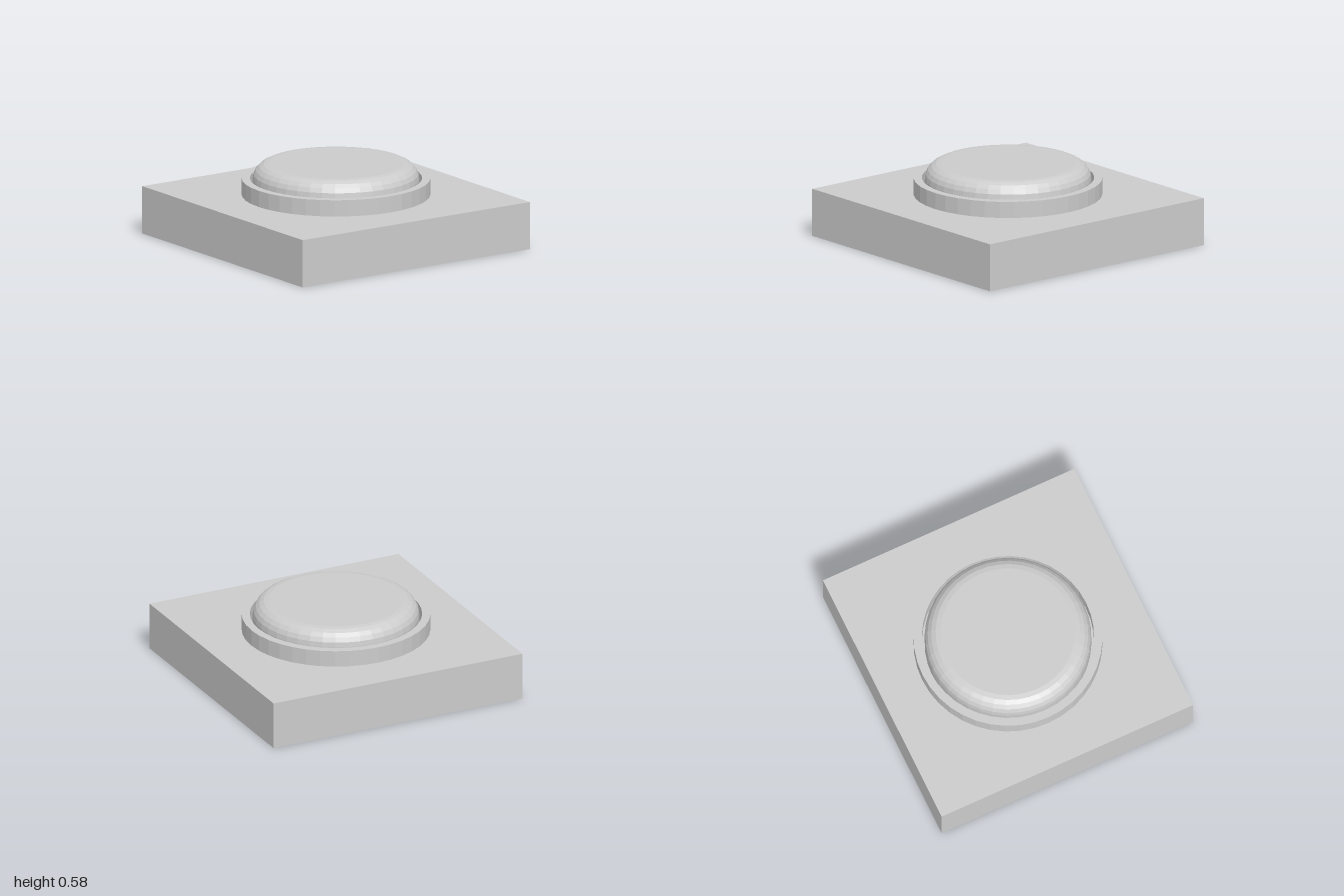
import * as THREE from 'three';

const SEGMENTS = 40;

export function createModel() {
  const group = new THREE.Group();
  const material = new THREE.MeshStandardMaterial({ color: 0xcccccc, flatShading: true });

  const add = (name, geometry) => {
    const mesh = new THREE.Mesh(geometry, material);
    mesh.name = name;
    group.add(mesh);
    return mesh;
  };
  const lathe = (points) =>
    new THREE.LatheGeometry(points.map(([r, y]) => new THREE.Vector2(r, y)), SEGMENTS);

  // Square base slab
  add('base', new THREE.BoxGeometry(2, 0.35, 2)).position.y = 0.175;

  // Raised collar around the button, open in the middle
  add('collar', lathe([[0.68, 0.35], [0.68, 0.47], [0.62, 0.47], [0.62, 0.35]]));

  // Button with a rounded upper rim and flat top
  const radius = 0.6, top = 0.58, fillet = 0.115, steps = 5;
  const profile = [[radius, 0.35]];
  for (let i = 0; i <= steps; i++) {
    const a = (i / steps) * Math.PI / 2;
    profile.push([radius - fillet + fillet * Math.cos(a), top - fillet + fillet * Math.sin(a)]);
  }
  profile.push([0, top]);
  add('button', lathe(profile));

  return group;
}
